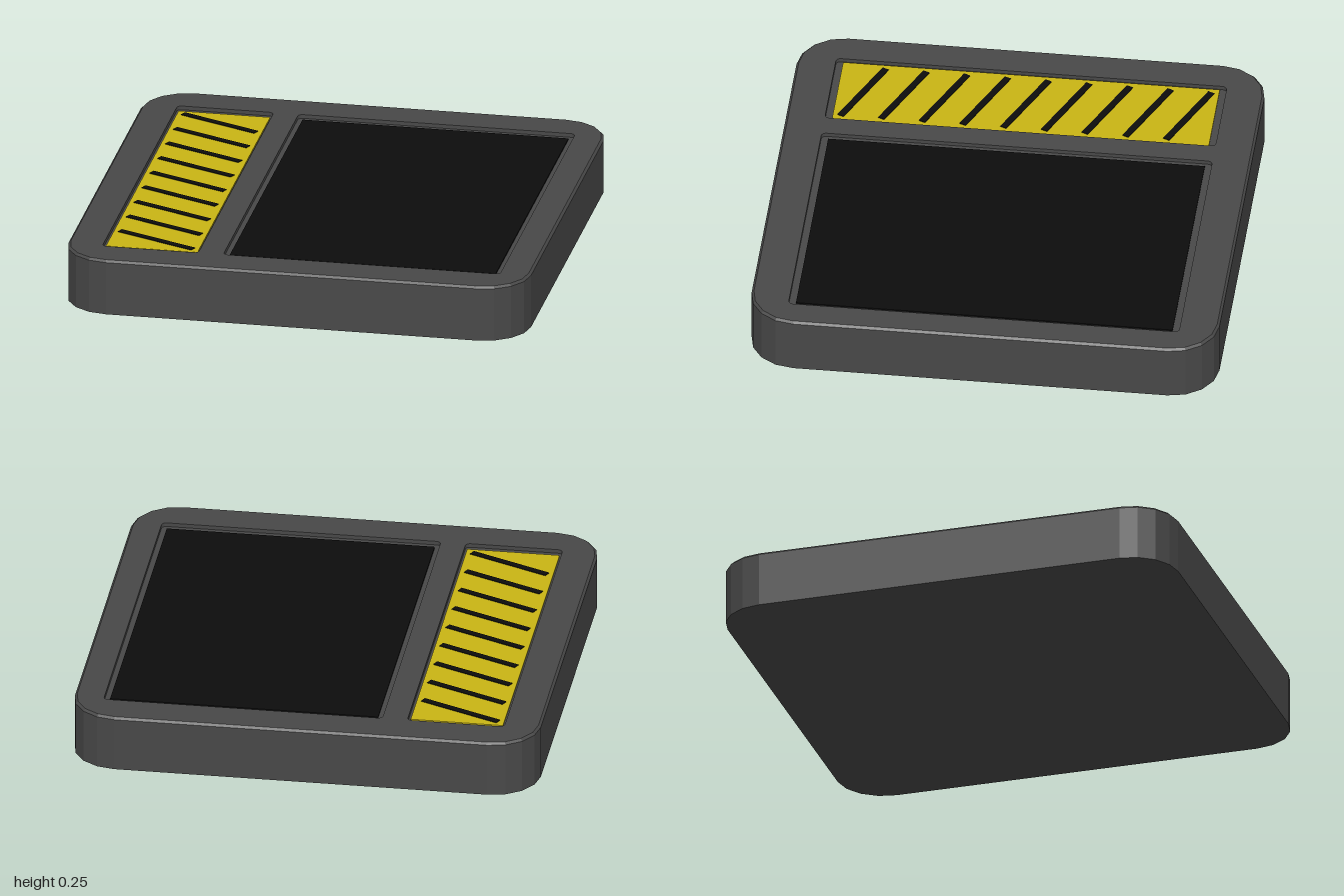
import * as THREE from 'three';

const HEIGHT = 0.245, BEVEL = 0.01, FLOOR = 0.228;

const material = (color) => new THREE.MeshStandardMaterial({ color, flatShading: true });

function addMesh(parent, name, geometry, mat) {
  const mesh = new THREE.Mesh(geometry, mat);
  mesh.name = name;
  parent.add(mesh);
  return mesh;
}

// Counter-clockwise rounded rectangle, four segments per corner
function roundedRect(x0, x1, halfZ, r) {
  const corners = [[x1 - r, halfZ - r], [x0 + r, halfZ - r], [x0 + r, r - halfZ], [x1 - r, r - halfZ]];
  const points = [];
  corners.forEach(([cx, cy], i) => {
    for (let k = 0; k <= 4; k++) {
      const a = (i + k / 4) * Math.PI / 2;
      points.push(new THREE.Vector2(cx + r * Math.cos(a), cy + r * Math.sin(a)));
    }
  });
  return points;
}

// Horizontal face at height y, facing up or down
function flatFace(outline, y, holes = [], down = false) {
  const shape = new THREE.Shape(outline);
  holes.forEach((h) => shape.holes.push(new THREE.Path(h)));
  return new THREE.ShapeGeometry(shape).rotateX(down ? Math.PI / 2 : -Math.PI / 2).translate(0, y, 0);
}

// Wall through a stack of outlines; rising sections face outward, falling ones inward
function wall(sections) {
  const positions = [], index = [];
  const n = sections[0].outline.length;
  sections.forEach(({ outline, y }) => outline.forEach((p) => positions.push(p.x, y, -p.y)));
  for (let s = 0; s < sections.length - 1; s++) {
    for (let i = 0; i < n; i++) {
      const a = s * n + i, b = s * n + (i + 1) % n;
      index.push(a, b, b + n, a, b + n, a + n);
    }
  }
  const g = new THREE.BufferGeometry();
  g.setAttribute('position', new THREE.Float32BufferAttribute(positions, 3));
  g.setIndex(index);
  g.computeVertexNormals();
  return g;
}

export function createModel() {
  const model = new THREE.Group();
  model.name = 'panelBlock';
  const grey = material(0x484848);
  const black = material(0x0d0d0d);
  const yellow = material(0xc9b514);

  // Housing with a small top bevel and two shallow pockets
  const housing = new THREE.Group();
  housing.name = 'housing';
  model.add(housing);
  const outer = roundedRect(-1, 1, 1, 0.2);
  const rim = roundedRect(-1 + BEVEL, 1 - BEVEL, 1 - BEVEL, 0.2 - BEVEL);
  const pockets = [
    { name: 'stripPocket', outline: roundedRect(-0.848, -0.432, 0.835, 0.02) },
    { name: 'screenPocket', outline: roundedRect(-0.325, 0.872, 0.835, 0.02) },
  ];
  addMesh(housing, 'sides', wall([
    { outline: outer, y: 0 },
    { outline: outer, y: HEIGHT - BEVEL },
    { outline: rim, y: HEIGHT },
  ]), grey);
  addMesh(housing, 'base', flatFace(outer, 0, [], true), grey);
  addMesh(housing, 'topFrame', flatFace(rim, HEIGHT, pockets.map((p) => p.outline)), grey);
  pockets.forEach(({ name, outline }) => {
    addMesh(housing, name + 'Wall', wall([{ outline, y: HEIGHT }, { outline, y: FLOOR }]), grey);
    addMesh(housing, name + 'Floor', flatFace(outline, FLOOR), grey);
  });

  // Inset panels
  const panelTop = FLOOR + 0.006;
  const panel = (name, x0, x1, mat) => addMesh(model, name,
    new THREE.BoxGeometry(x1 - x0, 0.012, 1.61), mat).position.set((x0 + x1) / 2, panelTop - 0.006, 0);
  panel('screen', -0.302, 0.848, black);
  panel('warningStrip', -0.838, -0.442, yellow);

  // Slanted warning stripes
  const stripes = new THREE.Group();
  stripes.name = 'warningStripes';
  model.add(stripes);
  const stripeGeometry = new THREE.BoxGeometry(0.378, 0.004, 0.03).rotateY(-0.415);
  for (let i = -4; i <= 4; i++) {
    addMesh(stripes, 'stripe', stripeGeometry, black).position.set(-0.64, panelTop + 0.001, i * 0.174);
  }
  return model;
}
